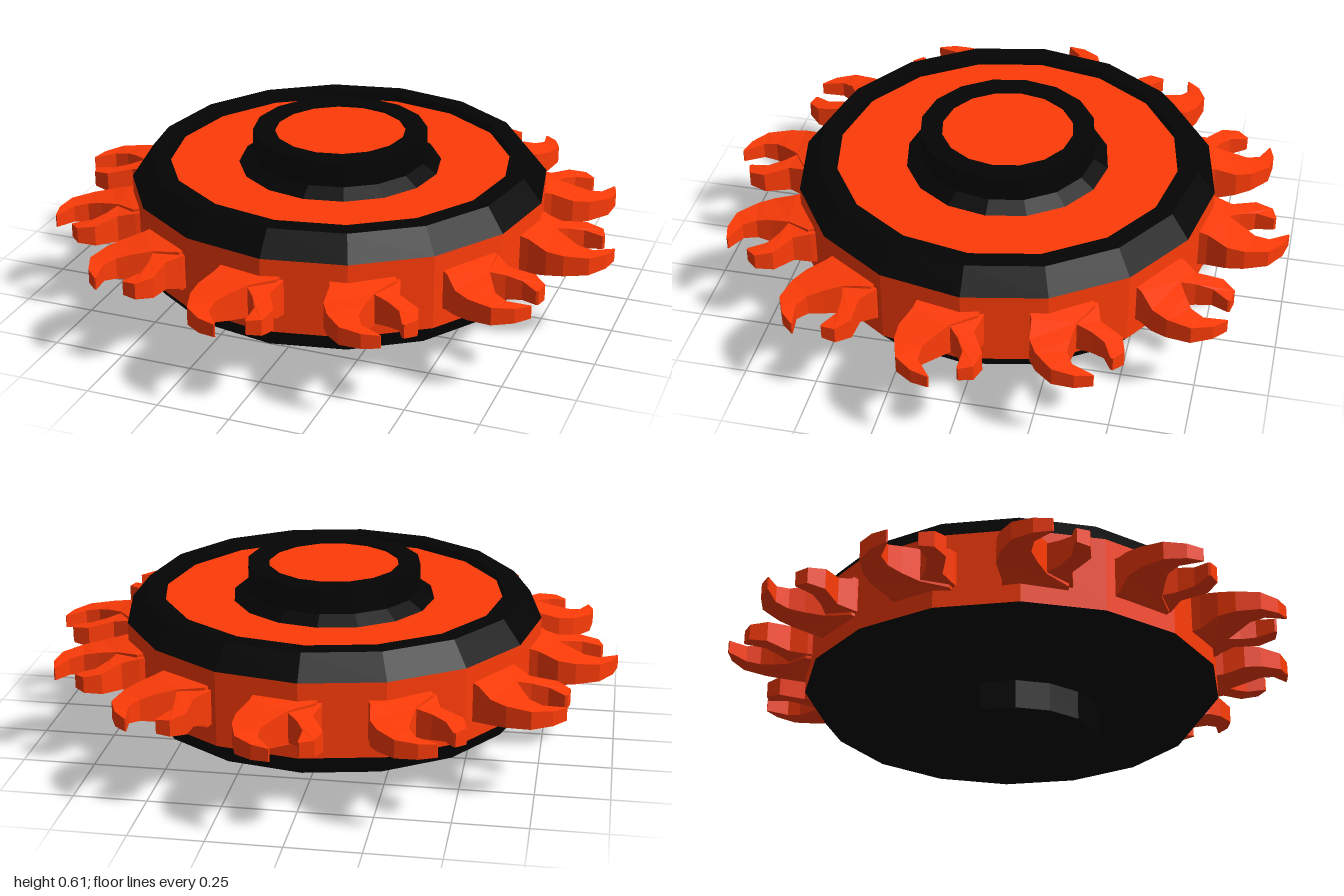
import * as THREE from 'three';

const MID = 0.31; // height of the wheel's middle plane
const orange = new THREE.MeshStandardMaterial({ color: 0xff3c08, flatShading: true });
const black = new THREE.MeshStandardMaterial({ color: 0x040404, flatShading: true });

// 16-sided turned part; profile runs bottom to top as [radius, y]
function turned(name, profile, material) {
  const points = profile.map(([r, y]) => new THREE.Vector2(r, y));
  const mesh = new THREE.Mesh(new THREE.LatheGeometry(points, 16), material);
  mesh.name = name;
  return mesh;
}

// Claw swept outwards through sections
// [rightX, rightR, leftX, leftR, rightHalfHeight, leftHalfHeight]
function claw(name, sections) {
  const pos = [], index = [];
  sections.forEach(([rx, rr, lx, lr, hr, hl], s) => {
    pos.push(rx, hr, -rr, lx, hl, -lr, lx, -hl, -lr, rx, -hr, -rr);
    if (s === sections.length - 1) return;
    for (let k = 0; k < 4; k++) {
      const n = (k + 1) % 4, a = s * 4 + k, b = s * 4 + n;
      index.push(a, a + 4, b + 4, a, b + 4, b);
    }
  });
  const e = (sections.length - 1) * 4;
  index.push(e, e + 3, e + 2, e, e + 2, e + 1);
  const geometry = new THREE.BufferGeometry();
  geometry.setAttribute('position', new THREE.Float32BufferAttribute(pos, 3));
  geometry.setIndex(index);
  geometry.computeVertexNormals();
  const mesh = new THREE.Mesh(geometry, orange);
  mesh.name = name;
  return mesh;
}

export function createModel() {
  const model = new THREE.Group();
  model.name = 'clawedWheel';

  // Wheel body
  model.add(turned('rim', [[0.73, 0.18], [0.73, 0.44]], orange));
  model.add(turned('lowerCover', [
    [0, 0], [0.305, 0], [0.305, 0.1], [0.665, 0.1], [0.73, 0.18],
  ], black));
  model.add(turned('upperRing', [[0.73, 0.44], [0.665, 0.52], [0.6, 0.52], [0.6, 0.49]], black));
  model.add(turned('upperDisc', [[0.6, 0.49], [0.355, 0.49]], orange));
  model.add(turned('hub', [[0.355, 0.49], [0.305, 0.52], [0.305, 0.61], [0.23, 0.61], [0.23, 0.6]], black));
  model.add(turned('hubCap', [[0.23, 0.6], [0, 0.6]], orange));

  // Twelve teeth, each a pair of claws curling towards each other
  const bigClaw = [
    [0.145, 0.66, -0.07, 0.66, 0.077, 0.08],
    [0.155, 0.73, -0.06, 0.735, 0.064, 0.07],
    [0.185, 0.8, 0.02, 0.785, 0.044, 0.058],
    [0.185, 0.86, 0.06, 0.84, 0.037, 0.048],
    [0.16, 0.94, 0.088, 0.885, 0.031, 0.037],
    [0.1, 0.985, 0.088, 0.935, 0.026, 0.029],
    [0.042, 1.0, 0.038, 0.997, 0.022, 0.022],
  ];
  const smallClaw = [
    [0.06, 0.66, -0.08, 0.66, 0.072, 0.068],
    [0.04, 0.73, -0.075, 0.73, 0.064, 0.06],
    [0.02, 0.785, -0.06, 0.79, 0.052, 0.048],
    [-0.015, 0.825, -0.105, 0.87, 0.044, 0.036],
    [-0.042, 0.875, -0.09, 0.93, 0.034, 0.028],
    [-0.038, 0.94, -0.044, 0.947, 0.024, 0.024],
  ];
  for (let i = 0; i < 12; i++) {
    const tooth = new THREE.Group();
    tooth.name = 'tooth';
    tooth.add(claw('bigClaw', bigClaw), claw('smallClaw', smallClaw));
    tooth.position.y = MID;
    tooth.rotation.y = -i * Math.PI / 6;
    model.add(tooth);
  }
  return model;
}
